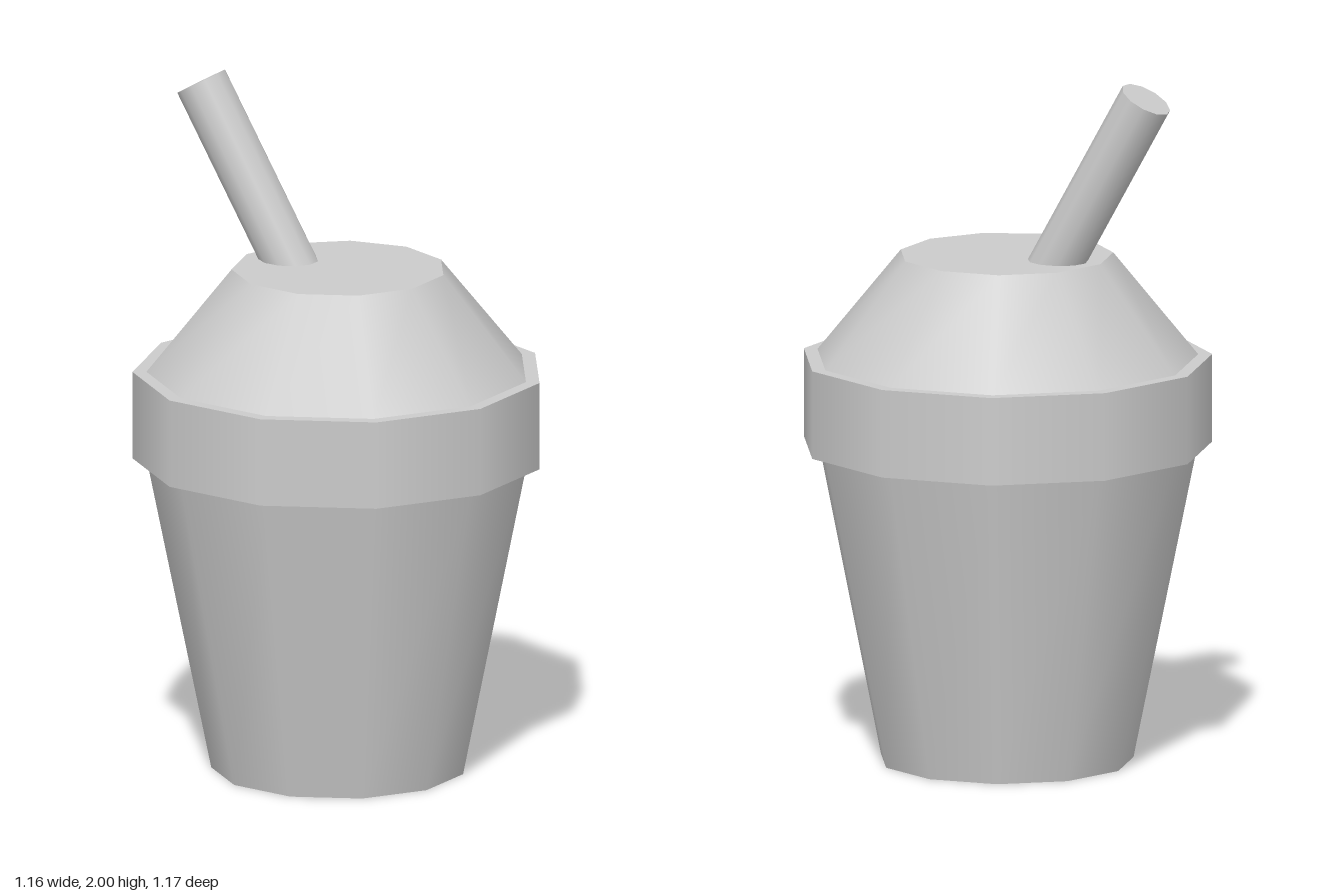
import * as THREE from 'three';

const SIDES = 11;

export function createModel() {
  const model = new THREE.Group();
  model.name = 'drinkCup';
  const material = new THREE.MeshStandardMaterial({ color: 0xcccccc });

  // Smooth-sided, capped 11-sided frustum standing between two heights, with a corner on +x
  function frustum(name, rBottom, rTop, y0, y1) {
    const geometry = new THREE.CylinderGeometry(rTop, rBottom, y1 - y0, SIDES, 1, false, Math.PI / 2);
    const mesh = new THREE.Mesh(geometry, material);
    mesh.name = name;
    mesh.position.set(-0.012, (y0 + y1) / 2, 0);
    model.add(mesh);
  }

  frustum('cup', 0.365, 0.55, 0, 0.915);
  frustum('rimBand', 0.59, 0.59, 0.915, 1.17);
  frustum('lid', 0.55, 0.307, 1.17, 1.47);

  // Straw leaning to the back right, its foot sunk slightly into the lid
  const foot = new THREE.Vector3(-0.097, 1.42, -0.122);
  const tip = new THREE.Vector3(-0.312, 1.963, -0.339);
  const axis = tip.clone().sub(foot);
  const straw = new THREE.Mesh(
    new THREE.CylinderGeometry(0.077, 0.077, axis.length(), SIDES, 1, false, Math.PI / 2),
    material
  );
  straw.name = 'straw';
  straw.position.copy(foot).add(tip).multiplyScalar(0.5);
  straw.quaternion.setFromUnitVectors(new THREE.Vector3(0, 1, 0), axis.normalize());
  model.add(straw);

  return model;
}
